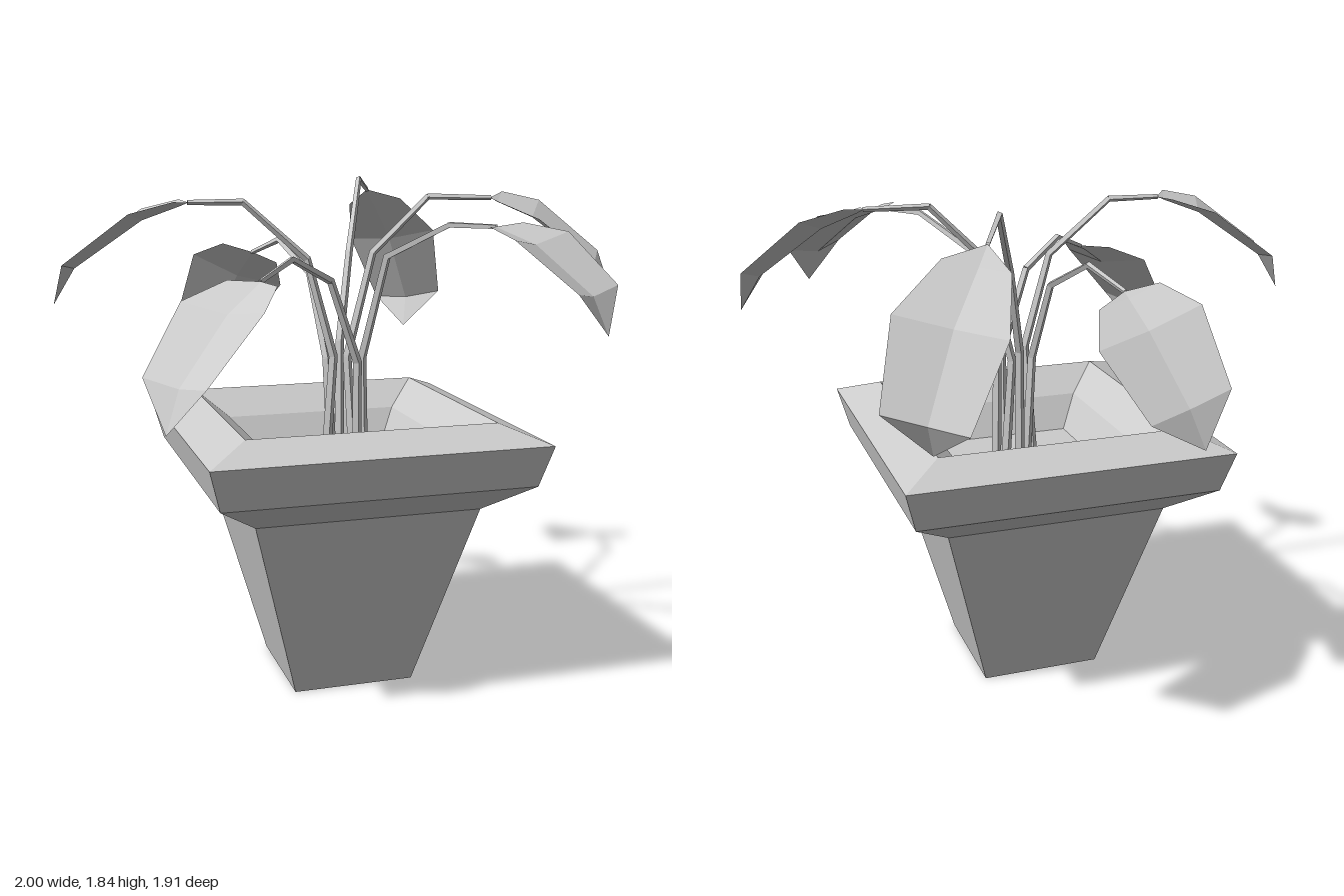
import * as THREE from 'three';
import { mergeGeometries } from 'three/addons/utils/BufferGeometryUtils.js';

const V = (a) => new THREE.Vector3(...a);

const clay = new THREE.MeshStandardMaterial({ color: 0xcccccc, side: THREE.DoubleSide });
clay.name = 'pale grey';

// One facet per face
function faceted(geometry) {
  const g = geometry.index ? geometry.toNonIndexed() : geometry;
  g.computeVertexNormals();
  return g;
}

function part(name, geometry) {
  const mesh = new THREE.Mesh(faceted(geometry), clay);
  mesh.name = name;
  return mesh;
}

// Square pot with a wide rim, a shallow tray inside and open underneath
function makePot() {
  const profile = [
    [0.225, 0], [0.41, 0.7], [0.56, 0.81], [0.6, 0.96],
    [0.45, 1.02], [0.335, 0.925], [0.267, 0.8], [0, 0.8],
  ].map(([half, y]) => new THREE.Vector2(half * Math.SQRT2, y));
  const pot = part('pot', new THREE.LatheGeometry(profile, 4, Math.PI / 4));
  pot.position.set(0.005, 0, 0.045);
  return pot;
}

// Tapering stem made of straight square rods
function makeStem(path) {
  const radius = (i) => 0.019 - 0.0025 * i;
  const rods = [];
  for (let i = 0; i < path.length - 1; i++) {
    const a = V(path[i]), b = V(path[i + 1]);
    const dir = b.clone().sub(a);
    const rod = new THREE.CylinderGeometry(radius(i + 1), radius(i), dir.length() + 0.006, 4, 1, true);
    rod.applyQuaternion(new THREE.Quaternion().setFromUnitVectors(new THREE.Vector3(0, 1, 0), dir.normalize()));
    const mid = a.add(b).multiplyScalar(0.5);
    rod.translate(mid.x, mid.y, mid.z);
    rods.push(rod);
  }
  return part('stem', mergeGeometries(rods));
}

// Arched leaf folded along a sunken midrib: rows of left edge, midrib, right edge
function makeLeaf(baseAt, { tip: tipAt, across, arch, rowsAt = [0.05, 0.28, 0.77] }) {
  const base = V(baseAt), tip = V(tipAt);
  const chord = tip.clone().sub(base);
  const along = chord.clone().normalize();
  const side = V(across);
  side.addScaledVector(along, -side.dot(along)).normalize();
  const out = new THREE.Vector3().crossVectors(side, along);
  if (out.y < 0) out.negate();

  // [position along chord, half width, share of the arch]
  const [t0, t1, t2] = rowsAt;
  const rows = [[0, 0, 0], [t0, 0.115, 0.35], [t1, 0.19, 1], [t2, 0.147, 1], [1, 0, 0]];
  const positions = [], index = [];
  rows.forEach(([t, half, lift], r) => {
    for (const s of [-1, 0, 1]) {
      const fold = s === 0 ? -0.2 * half : 0;
      const p = base.clone().addScaledVector(chord, t)
        .addScaledVector(side, s * half).addScaledVector(out, lift * arch + fold);
      positions.push(p.x, p.y, p.z);
    }
    if (r === 0) return;
    for (let c = 0; c < 2; c++) {
      const a = (r - 1) * 3 + c, b = r * 3 + c;
      if (r > 1) index.push(a, b, a + 1);
      if (r < rows.length - 1) index.push(a + 1, b, b + 1);
    }
  });
  const g = new THREE.BufferGeometry();
  g.setAttribute('position', new THREE.Float32BufferAttribute(positions, 3));
  g.setIndex(index);
  return part('leaf', g);
}

// Each sprig: stem path ending at the leaf base, leaf tip, leaf width direction, arch
const sprigs = [
  { name: 'leftSprig', path: [[0.07, 0.8, 0.05], [0.05, 1.2, 0.03], [0.14, 1.58, 0.05], [0.34, 1.78, 0.08], [0.565, 1.775, 0.125]],
    tip: [1.0, 1.41, 0.275], across: [0.145, 0.07, -0.36], arch: 0.08 },
  { name: 'backLeftSprig', path: [[0.03, 0.8, 0], [0.04, 1.25, -0.03], [0.11, 1.57, -0.14], [0.24, 1.83, -0.43], [0.34, 1.78, -0.63]],
    tip: [0.57, 1.18, -0.8], across: [0.31, -0.045, 0.195], arch: 0.14, rowsAt: [0.12, 0.43, 0.88] },
  { name: 'frontLeftSprig', path: [[0.1, 0.8, 0.075], [0.09, 1.2, 0.085], [0.14, 1.58, 0.21], [0.29, 1.7, 0.42], [0.4, 1.7, 0.555]],
    tip: [0.655, 1.37, 0.88], across: [0.285, 0.03, -0.255], arch: 0.09 },
  { name: 'backRightSprig', path: [[-0.015, 0.8, 0.055], [-0.035, 1.2, 0.05], [-0.065, 1.5, -0.07], [-0.13, 1.61, -0.27], [-0.195, 1.55, -0.44]],
    tip: [-0.355, 1.08, -0.78], across: [0.37, -0.13, 0.02], arch: 0.09 },
  { name: 'rightSprig', path: [[-0.055, 0.8, 0.1], [-0.035, 1.22, 0.135], [-0.13, 1.57, 0.13], [-0.35, 1.77, 0.09], [-0.54, 1.77, 0.08]],
    tip: [-1.0, 1.42, -0.04], across: [0.07, -0.02, -0.37], arch: 0.085 },
  { name: 'frontRightSprig', path: [[0.052, 0.8, 0.145], [0.045, 1.2, 0.17], [-0.07, 1.5, 0.22], [-0.24, 1.59, 0.34], [-0.37, 1.53, 0.43]],
    tip: [-0.73, 1.085, 0.65], across: [-0.21, 0, -0.32], arch: 0.085 },
];

export function createModel() {
  const model = new THREE.Group();
  model.name = 'pottedPlant';
  model.add(makePot());
  for (const { name, path, ...leaf } of sprigs) {
    const sprig = new THREE.Group();
    sprig.name = name;
    sprig.add(makeStem(path), makeLeaf(path[path.length - 1], leaf));
    model.add(sprig);
  }
  return model;
}
